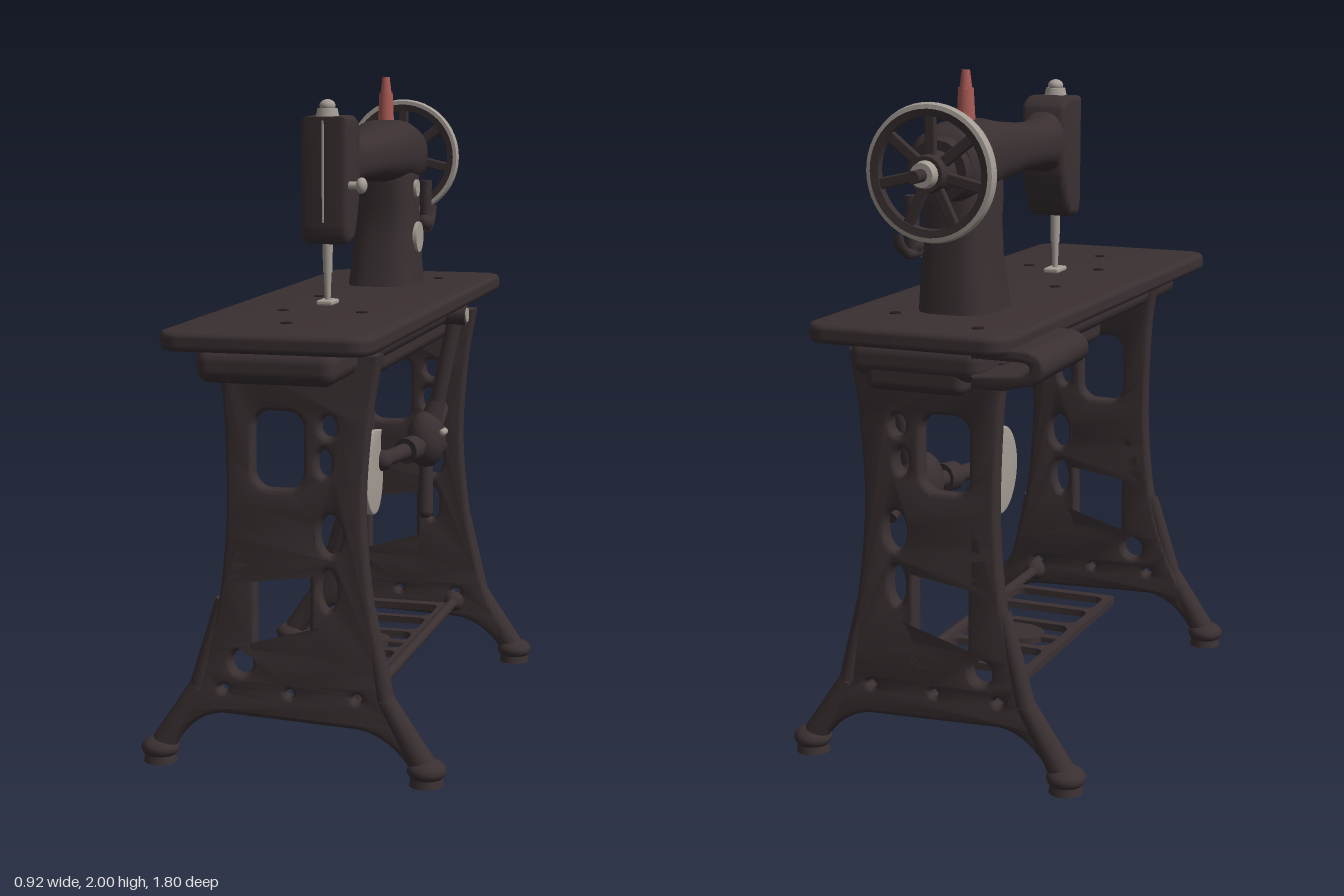
import * as THREE from 'three';
import { toCreasedNormals } from 'three/addons/utils/BufferGeometryUtils.js';
import { RoundedBoxGeometry } from 'three/addons/geometries/RoundedBoxGeometry.js';

const V = (x, y, z) => new THREE.Vector3(x, y, z);
const mat = (name, color) => Object.assign(new THREE.MeshStandardMaterial({ color }), { name });

export function createModel() {
  const iron = mat('dark iron', 0x3a3032), steel = mat('steel', 0xa59d95);
  const red = mat('red thread', 0xa85a55), shade = mat('hole shade', 0x241d1f);
  const root = new THREE.Group();
  root.name = 'treadleSewingMachine';

  // ---- helpers ----
  const add = (name, geo, m = iron, p = [0, 0, 0], parent = root) => {
    const mesh = new THREE.Mesh(geo, m);
    mesh.name = name;
    mesh.position.set(...p);
    parent.add(mesh);
    return mesh;
  };
  const box = (w, h, d, r = 0.015) => new RoundedBoxGeometry(w, h, d, 3, r);
  const cyl = (r1, r2, h, n = 24) => new THREE.CylinderGeometry(r1, r2, h, n);
  const ball = (name, r, p, s = [1, 1, 1], m = iron) =>
    add(name, new THREE.SphereGeometry(r, 20, 14).scale(...s), m, p);
  const rod = (name, a, b, r1, r2 = r1, m = iron) => {
    const d = b.clone().sub(a);
    const mesh = add(name, cyl(r2, r1, d.length(), 16), m, a.clone().lerp(b, 0.5).toArray());
    mesh.quaternion.setFromUnitVectors(V(0, 1, 0), d.normalize());
    return mesh;
  };
  const extrude = (shape, depth, bevel = 0) => toCreasedNormals(new THREE.ExtrudeGeometry(shape, {
    depth: depth - 2 * bevel, bevelEnabled: bevel > 0, bevelSize: bevel, bevelThickness: bevel,
    bevelOffset: -bevel, bevelSegments: 3, curveSegments: 10,
  }).translate(0, 0, bevel - depth / 2), 0.6);
  const roundRect = (x0, y0, x1, y1, r, S = THREE.Path) => {
    const s = new S(), h = Math.PI / 2;
    s.absarc(x1 - r, y0 + r, r, -h, 0).absarc(x1 - r, y1 - r, r, 0, h);
    s.absarc(x0 + r, y1 - r, r, h, 2 * h).absarc(x0 + r, y0 + r, r, 2 * h, 3 * h);
    s.closePath();
    return s;
  };
  const oval = (x, y, rx, ry) => new THREE.Path().absellipse(x, y, rx, ry, 0, Math.PI * 2);
  // loft along z through rounded sections [z, centreY, halfX, halfY]
  const loft = (sections, power = 0.8, n = 32) => {
    const pos = [], idx = [], last = sections.length - 1;
    const f = (t) => Math.sign(t) * Math.abs(t) ** power;
    for (const [z, cy, hx, hy] of sections) for (let j = 0; j < n; j++) {
      const a = j / n * Math.PI * 2;
      pos.push(hx * f(Math.cos(a)), cy + hy * f(Math.sin(a)), z);
    }
    for (let i = 0; i < last; i++) for (let j = 0; j < n; j++) {
      const a = i * n + j, b = i * n + (j + 1) % n;
      idx.push(a, b, b + n, a, b + n, a + n);
    }
    for (let j = 1; j < n - 1; j++) idx.push(0, j + 1, j, last * n, last * n + j, last * n + j + 1);
    const g = new THREE.BufferGeometry();
    g.setAttribute('position', new THREE.Float32BufferAttribute(pos, 3));
    g.setIndex(idx);
    return toCreasedNormals(g, 0.8);
  };

  // ---- table: slightly tilted top with apron and belly ----
  const table = new THREE.Group();
  table.name = 'table';
  table.rotation.x = 0.012;
  root.add(table);
  const top = roundRect(-0.3, -0.9, 0.31, 0.9, 0.07, THREE.Shape);
  add('tableTop', extrude(top, 0.055, 0.018).rotateX(-Math.PI / 2), iron, [0, 1.294, 0], table);
  add('apron', box(0.4, 0.1, 1.7, 0.04), iron, [0, 1.225, 0.01], table);
  add('belly', box(0.34, 0.1, 0.92, 0.035), iron, [0, 1.168, -0.25], table);
  for (const [x, z] of [[-0.1, -0.03], [-0.1, 0.35], [0.14, 0.35], [0, 0.64], [0.14, -0.65], [-0.17, -0.78]])
    add('screwHole', cyl(0.017, 0.017, 0.004), shade, [x, 1.322, z], table);
  add('rearBracket', box(0.3, 0.09, 0.1, 0.03), iron, [0, 1.19, -0.77]);

  // curled tray on the side of the table
  const tray = new THREE.Shape();
  tray.moveTo(-0.18, 1.295).lineTo(-0.33, 1.295);
  tray.bezierCurveTo(-0.41, 1.29, -0.41, 1.2, -0.33, 1.195);
  tray.lineTo(-0.27, 1.18).lineTo(-0.18, 1.18).lineTo(-0.18, 1.215).lineTo(-0.31, 1.225);
  tray.bezierCurveTo(-0.36, 1.23, -0.36, 1.262, -0.32, 1.262);
  tray.lineTo(-0.18, 1.262).closePath();
  add('sideTray', extrude(tray, 0.35, 0.008), iron, [0, 0, -0.665]);

  // ---- pierced cast legs ----
  const frame = new THREE.Shape();
  frame.moveTo(-0.22, 1.23);
  frame.splineThru([[-0.2, 1.08], [-0.19, 0.8], [-0.205, 0.57], [-0.24, 0.4], [-0.31, 0.22], [-0.435, 0.05]]
    .map((p) => new THREE.Vector2(...p)));
  frame.lineTo(-0.37, 0.03);
  frame.quadraticCurveTo(-0.3, 0.16, -0.2, 0.165).lineTo(0.2, 0.15);
  frame.quadraticCurveTo(0.3, 0.14, 0.37, 0.03).lineTo(0.435, 0.05);
  frame.splineThru([[0.32, 0.21], [0.265, 0.4], [0.235, 0.57], [0.218, 0.8], [0.235, 1.05], [0.265, 1.23]]
    .map((p) => new THREE.Vector2(...p)));
  frame.closePath();
  frame.holes.push(
    roundRect(-0.11, 0.835, 0.04, 1.06, 0.05), roundRect(-0.105, 0.325, 0.06, 0.8, 0.06),
    oval(-0.145, 0.32, 0.035, 0.037), oval(0.112, 1.02, 0.025, 0.032), oval(0.1, 0.915, 0.022, 0.04),
    oval(0.12, 0.71, 0.035, 0.06), oval(0.115, 0.55, 0.026, 0.06), oval(0.12, 0.375, 0.04, 0.06),
    oval(0.2, 0.24, 0.015, 0.012), oval(-0.2, 0.24, 0.015, 0.012), oval(0, 0.24, 0.012, 0.012));
  const frameGeo = extrude(frame, 0.055, 0.014);
  for (const [name, z, lean] of [['frontLeg', 0.618, -0.02], ['rearLeg', -0.678, 0.02]]) {
    const leg = add(name, frameGeo, iron, [0, 0, z + (z > 0 ? 0.01 : -0.01)]);
    leg.rotation.x = lean;
    const fz = z > 0 ? 0.628 : -0.692;
    for (const s of [-1, 1]) {
      ball(name + 'Foot', 0.057, [s * 0.403, 0.043, fz], [1, 0.6, 1]);
      add(name + 'Pad', cyl(0.045, 0.05, 0.03), iron, [s * 0.403, 0.015, fz]);
      rod(name + 'Shin', V(s * 0.39, 0.06, fz), V(s * 0.28, 0.24, fz), 0.038, 0.028);
      rod(name + 'Edge', V(s * 0.28, 0.24, fz), V(s * 0.215 + 0.01, 0.5, z), 0.028, 0.024);
    }
  }
  ball('legBolt', 0.02, [0.235, 0.47, 0.615], [1, 1, 1], steel);

  // ---- treadle ----
  rod('treadleRail', V(0.2, 0.21, 0.62), V(0.2, 0.21, -0.68), 0.017);
  for (const z of [0.57, -0.635]) ball('railCollar', 0.034, [0.2, 0.21, z]);
  const pedal = roundRect(-0.17, -0.57, 0.2, 0.37, 0.02, THREE.Shape);
  for (const [a, b] of [[-0.53, -0.38], [-0.35, -0.2], [0.06, 0.19], [0.22, 0.34]])
    pedal.holes.push(roundRect(-0.14, a, 0.17, b, 0.03));
  pedal.holes.push(roundRect(-0.14, -0.17, 0.17, 0.03, 0.04));
  add('treadlePedal', extrude(pedal, 0.022).rotateX(Math.PI / 2), iron, [0, 0.21, 0]);
  add('pedalOval', cyl(1, 1, 0.022, 32).scale(0.1, 1, 0.075), iron, [0.015, 0.21, -0.07]);
  add('pedalBridge', box(0.34, 0.018, 0.03, 0.005), iron, [0.015, 0.21, -0.07]);

  // ---- crank, hub and swinging plate under the table ----
  rod('hangerRod', V(0.045, 1.14, -0.095), V(0.045, 0.86, -0.113), 0.009);
  const plate = new THREE.Shape();
  plate.moveTo(-0.19, 0.88).quadraticCurveTo(-0.165, 0.84, -0.19, 0.8);
  plate.bezierCurveTo(-0.23, 0.72, -0.19, 0.61, -0.11, 0.615);
  plate.bezierCurveTo(-0.03, 0.62, 0.02, 0.72, 0, 0.79);
  plate.bezierCurveTo(-0.02, 0.87, -0.09, 0.91, -0.14, 0.885).closePath();
  add('swingPlate', extrude(plate, 0.026, 0.006).rotateY(-Math.PI / 2).scale(1, 1, 1), steel, [0.045, 0, 0]);
  rod('crankArm', V(0.06, 0.78, -0.18), V(0.13, 0.79, -0.46), 0.026);
  rod('crankCollar', V(0.1, 0.786, -0.33), V(0.115, 0.788, -0.38), 0.043);
  ball('crankEnd', 0.034, [0.06, 0.78, -0.18]);
  ball('crankHub', 0.088, [0.13, 0.8, -0.5], [0.75, 1.1, 0.9]);
  for (const z of [-0.47, -0.495]) ball('hubScrew', 0.012, [0.194, 0.83, z], [1, 1, 1], steel);
  rod('hangerArm', V(0.14, 0.85, -0.51), V(0.17, 0.95, -0.52), 0.04, 0.025);
  rod('hangerShaft', V(0.165, 0.93, -0.515), V(0.22, 1.21, -0.53), 0.026);
  rod('lowerLever', V(0.13, 0.76, -0.5), V(0.13, 0.56, -0.492), 0.022, 0.027);
  ball('leverTip', 0.027, [0.13, 0.557, -0.492]);
  rod('hubStay', V(0.14, 0.8, -0.54), V(0.15, 0.9, -0.67), 0.025);
  rod('hubStay', V(0.14, 0.8, -0.54), V(0.15, 0.74, -0.67), 0.022);
  rod('hangerBoss', V(0.15, 1.22, -0.52), V(0.26, 1.22, -0.52), 0.034);
  rod('bossCap', V(0.26, 1.22, -0.52), V(0.264, 1.22, -0.52), 0.024, 0.024, steel);

  // ---- machine column, arm and head ----
  add('column', loft([[1.3, 0.463, 0.117, 0.146], [1.34, 0.465, 0.113, 0.142], [1.48, 0.478, 0.102, 0.122],
    [1.58, 0.476, 0.098, 0.118], [1.65, 0.47, 0.097, 0.128], [1.78, 0.47, 0.09, 0.13]], 0.65)
    .rotateX(-Math.PI / 2));
  add('arm', loft([[-0.62, 1.74, 0.09, 0.08], [-0.595, 1.745, 0.107, 0.1], [-0.5, 1.755, 0.115, 0.108],
    [-0.4, 1.763, 0.113, 0.1], [-0.3, 1.757, 0.1, 0.09], [-0.2, 1.755, 0.09, 0.08], [-0.08, 1.75, 0.08, 0.073],
    [0.04, 1.745, 0.073, 0.07], [0.11, 1.745, 0.07, 0.078], [0.15, 1.745, 0.07, 0.11], [0.2, 1.745, 0.065, 0.12]]));
  const head = new THREE.Shape();
  head.moveTo(-0.29, 1.88).lineTo(-0.285, 1.56).quadraticCurveTo(-0.28, 1.505, -0.25, 1.505);
  head.lineTo(-0.2, 1.51).quadraticCurveTo(-0.16, 1.53, -0.125, 1.66).lineTo(-0.13, 1.85);
  head.quadraticCurveTo(-0.15, 1.885, -0.19, 1.885).closePath();
  add('head', extrude(head, 0.145, 0.02).rotateY(Math.PI / 2));
  add('faceSlit', new THREE.BoxGeometry(0.006, 0.3, 0.005), steel, [0, 1.72, 0.289]);
  rod('headKnob', V(0, 1.88, 0.24), V(0, 1.905, 0.24), 0.035, 0.03, steel);
  ball('headKnobTop', 0.024, [0, 1.912, 0.24], [1, 0.8, 1], steel);
  rod('tensionStem', V(0.06, 1.68, 0.26), V(0.11, 1.68, 0.26), 0.012, 0.012, steel);
  ball('tensionKnob', 0.024, [0.11, 1.68, 0.26], [0.7, 1, 1], steel);
  rod('needleBar', V(0, 1.52, 0.24), V(0, 1.42, 0.24), 0.016, 0.014, steel);
  rod('needle', V(0, 1.43, 0.24), V(0, 1.32, 0.24), 0.012, 0.008, steel);
  add('presserFoot', box(0.05, 0.016, 0.08, 0.006), steel, [0, 1.332, 0.24]);
  for (const [y, z, r, x] of [[1.48, -0.47, 0.05, 0.106], [1.64, -0.465, 0.028, 0.1]])
    rod('columnMedallion', V(x - 0.03, y, z), V(x + 0.006, y, z), r, r, steel);

  // ---- thread spool ----
  rod('spool', V(0, 1.85, -0.45), V(0, 1.95, -0.45), 0.027, 0.022, red);
  rod('spoolTip', V(0, 1.95, -0.45), V(0, 2, -0.45), 0.018, 0.012, red);

  // ---- hand wheel ----
  const wheel = new THREE.Group();
  wheel.name = 'handWheel';
  wheel.position.set(0, 1.735, -0.688);
  root.add(wheel);
  const ring = (pts) => toCreasedNormals(new THREE.LatheGeometry(
    pts.map((p) => new THREE.Vector2(...p)), 48).rotateX(Math.PI / 2), 0.6);
  add('wheelRim', ring([[0.155, -0.014], [0.182, -0.018], [0.182, 0.018], [0.155, 0.014], [0.155, -0.014]]),
    iron, [0, 0, 0], wheel);
  add('wheelBand', ring([[0.176, -0.02], [0.188, -0.018], [0.193, 0], [0.188, 0.018], [0.176, 0.018]]),
    steel, [0, 0, 0], wheel);
  for (let i = 0; i < 7; i++) {
    const a = i / 7 * Math.PI * 2;
    const spoke = add('wheelSpoke', box(0.032, 0.13, 0.02, 0.006), iron,
      [-Math.sin(a) * 0.1, Math.cos(a) * 0.1, 0], wheel);
    spoke.rotation.z = a;
  }
  rod('shaftHousing', V(0, 1.74, -0.58), V(0, 1.735, -0.65), 0.095, 0.088);
  rod('wheelHub', V(0, 1.735, -0.64), V(0, 1.735, -0.725), 0.062, 0.05);
  rod('hubNut', V(0, 1.735, -0.72), V(0, 1.735, -0.752), 0.04, 0.034, steel);
  rod('wheelShaft', V(0, 1.735, -0.74), V(0, 1.735, -0.805), 0.018);
  // bobbin winder lever below the wheel
  const lever = new THREE.CatmullRomCurve3([V(0.09, 1.5, -0.57), V(0.1, 1.5, -0.63), V(0.1, 1.53, -0.68), V(0.1, 1.57, -0.7)]);
  add('winderLever', new THREE.TubeGeometry(lever, 16, 0.015, 10));
  ball('winderKnob', 0.028, [0.1, 1.52, -0.59]);
  rod('winderPost', V(0.1, 1.5, -0.6), V(0.1, 1.66, -0.6), 0.02);
  return root;
}
